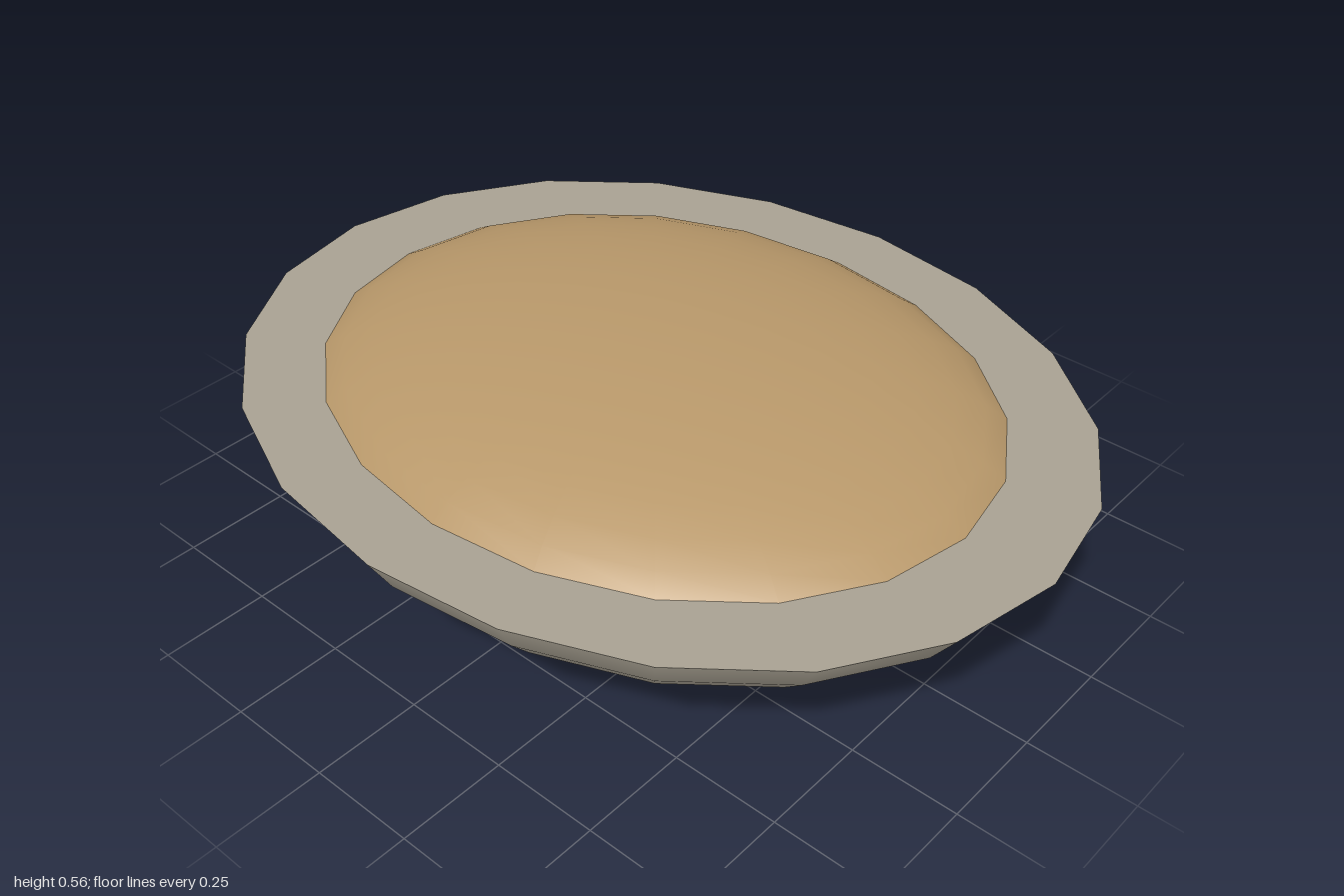
import * as THREE from 'three';

const SIDES = 20, RINGS = 8;
const CAP = Math.PI * 0.4;          // polar angle covered by each shallow cap
const RIM_Y = 0.425, DEPTH = 0.82;  // rim height, oval z / x ratio

// Oval ellipsoid cap whose edge lies at y = 0, bulging up or down
function capGeometry(radius, height, up) {
  const geo = new THREE.SphereGeometry(1, SIDES, RINGS, 0, Math.PI * 2, up ? 0 : Math.PI - CAP, CAP);
  const r = radius / Math.sin(CAP);
  geo.translate(0, up ? -Math.cos(CAP) : Math.cos(CAP), 0);
  geo.scale(r, height / (1 - Math.cos(CAP)), r * DEPTH);
  return geo;
}

export function createModel() {
  const group = new THREE.Group();
  const shellMat = new THREE.MeshStandardMaterial({ color: 0xa8a192 });
  const fillingMat = new THREE.MeshStandardMaterial({ color: 0xb8986a });

  const add = (name, geo, mat) => {
    const mesh = new THREE.Mesh(geo, mat);
    mesh.name = name;
    mesh.position.y = RIM_Y;
    group.add(mesh);
  };

  // Rounded bowl underside
  add('bowl', capGeometry(1, RIM_Y, false), shellMat);

  // Flat oval rim
  const rim = new THREE.RingGeometry(0.8, 1, SIDES);
  rim.rotateX(-Math.PI / 2);
  rim.scale(1, 1, DEPTH);
  add('rim', rim, shellMat);

  // Domed filling
  add('filling', capGeometry(0.8, 0.14, true), fillingMat);

  return group;
}
